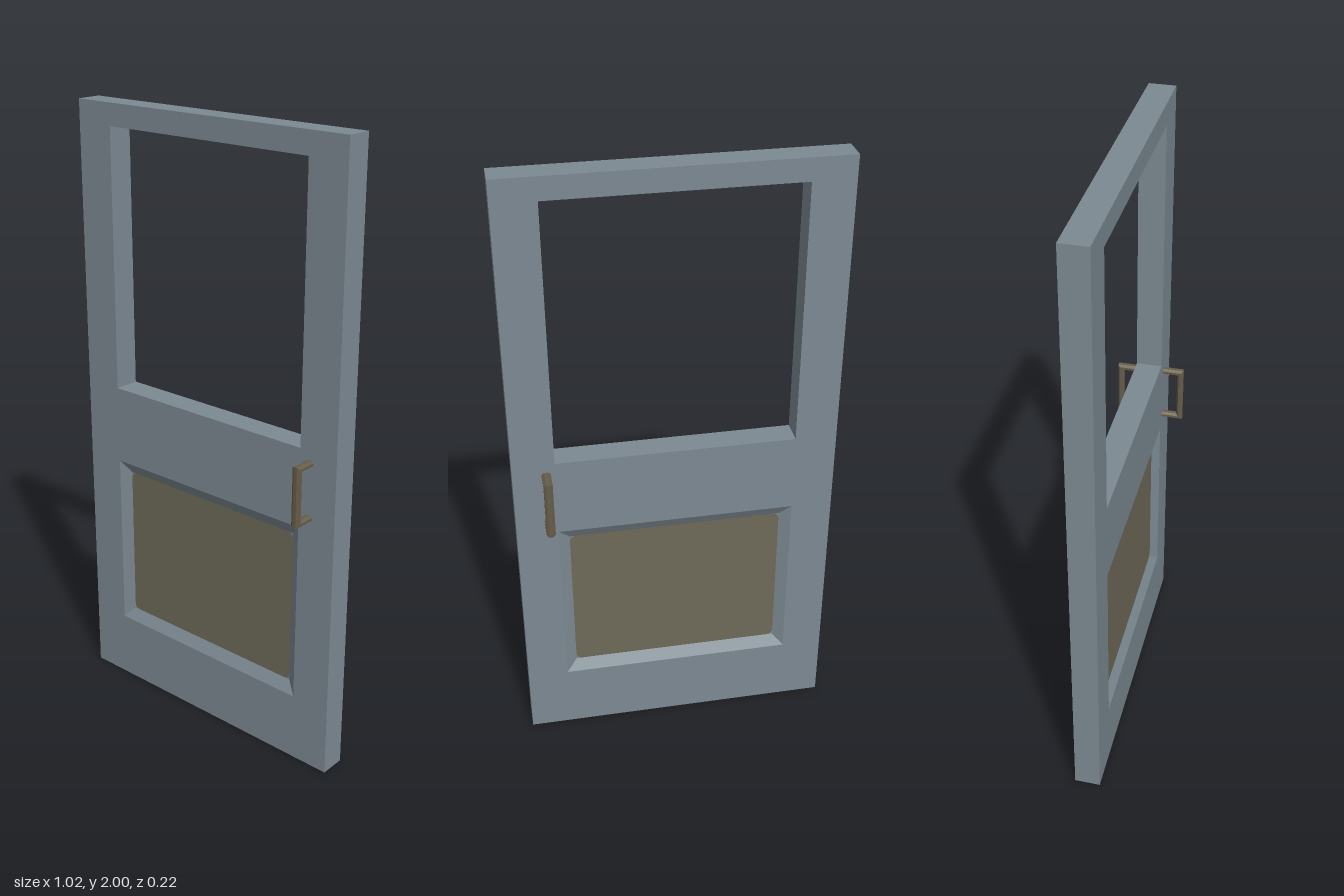
import * as THREE from 'three';

const HALF_W = 0.51, HALF_T = 0.042, FLOOR_Z = 0.02;
const OUTER = { x: 0.378, y0: 0.227, y1: 0.826 };
const INNER = { x: 0.343, y0: 0.265, y1: 0.787 };

function rectPath(x, y0, y1, Type = THREE.Path) {
  const p = new Type();
  p.moveTo(-x, y0).lineTo(x, y0).lineTo(x, y1).lineTo(-x, y1).closePath();
  return p;
}

function corners(r, z) {
  return [[-r.x, r.y0, z], [r.x, r.y0, z], [r.x, r.y1, z], [-r.x, r.y1, z]];
}

// Joins successive closed rings of points with flat-shaded quads
function skin(rings) {
  const pos = [];
  for (let i = 0; i + 1 < rings.length; i++) {
    const a = rings[i], b = rings[i + 1], n = a.length;
    for (let j = 0; j < n; j++) {
      const k = (j + 1) % n;
      pos.push(...a[j], ...a[k], ...b[k], ...a[j], ...b[k], ...b[j]);
    }
  }
  const g = new THREE.BufferGeometry();
  g.setAttribute('position', new THREE.Float32BufferAttribute(pos, 3));
  g.computeVertexNormals();
  return g;
}

// Rectangle with rounded corners
function insetShape({ x, y0, y1 }, r) {
  const s = new THREE.Shape();
  s.moveTo(-x + r, y0).lineTo(x - r, y0).quadraticCurveTo(x, y0, x, y0 + r);
  s.lineTo(x, y1 - r).quadraticCurveTo(x, y1, x - r, y1);
  s.lineTo(-x + r, y1).quadraticCurveTo(-x, y1, -x, y1 - r);
  s.lineTo(-x, y0 + r).quadraticCurveTo(-x, y0, -x + r, y0);
  return s;
}

// U-shaped pull with an eight-sided section and mitred corners
function handleGeometry() {
  const top = 1.056, bottom = 0.859, out = 0.111, rx = 0.014, rb = 0.01;
  const section = [];
  for (let i = 0; i < 8; i++) {
    const t = (i + 0.5) * Math.PI / 4, c = Math.cos(Math.PI / 8);
    section.push([Math.cos(t) * rx / c, rb + Math.sin(t) * rb / c]);
  }
  return skin([
    section.map(([a, b]) => [a, top - b, HALF_T - 0.005]),
    section.map(([a, b]) => [a, top - b, out - b]),
    section.map(([a, b]) => [a, bottom + b, out - b]),
    section.map(([a, b]) => [a, bottom + b, HALF_T - 0.005]),
  ]);
}

export function createModel() {
  const paint = new THREE.MeshStandardMaterial({ color: 0x7c8992 });
  paint.name = 'blueGreyPaint';
  const panel = new THREE.MeshStandardMaterial({ color: 0x6e6a59 });
  panel.name = 'brownPanel';
  const bronze = new THREE.MeshStandardMaterial({ color: 0x665d49, side: THREE.DoubleSide });
  bronze.name = 'bronzeHandle';

  const door = new THREE.Group();
  door.name = 'door';
  const add = (parent, name, geometry, material) => {
    const m = new THREE.Mesh(geometry, material);
    m.name = name;
    parent.add(m);
    return m;
  };

  // Door frame with window opening and lower panel opening
  const slab = rectPath(HALF_W, 0, 2, THREE.Shape);
  slab.holes.push(rectPath(OUTER.x, 1.085, 1.93), rectPath(OUTER.x, OUTER.y0, OUTER.y1));
  const frame = new THREE.ExtrudeGeometry(slab, { depth: HALF_T * 2, bevelEnabled: false });
  add(door, 'frame', frame.translate(0, 0, -HALF_T), paint);

  // Core behind the rounded panel corners
  const h = INNER.y1 - INNER.y0;
  const core = add(door, 'panelCore', new THREE.BoxGeometry(INNER.x * 2, h, (FLOOR_Z - 0.001) * 2), paint);
  core.position.y = INNER.y0 + h / 2;

  // Bevelled recess, panel and handle on each face
  for (const [name, turn, handleX] of [['front', 0, 0.414], ['back', Math.PI, -0.406]]) {
    const side = new THREE.Group();
    side.name = name + 'Side';
    side.rotation.y = turn;
    add(side, name + 'Bevel', skin([corners(OUTER, HALF_T), corners(INNER, FLOOR_Z)]), paint);
    const inset = add(side, name + 'Panel', new THREE.ShapeGeometry(insetShape(INNER, 0.022), 4), panel);
    inset.position.z = FLOOR_Z;
    add(side, name + 'Handle', handleGeometry(), bronze).position.x = handleX;
    door.add(side);
  }
  return door;
}
